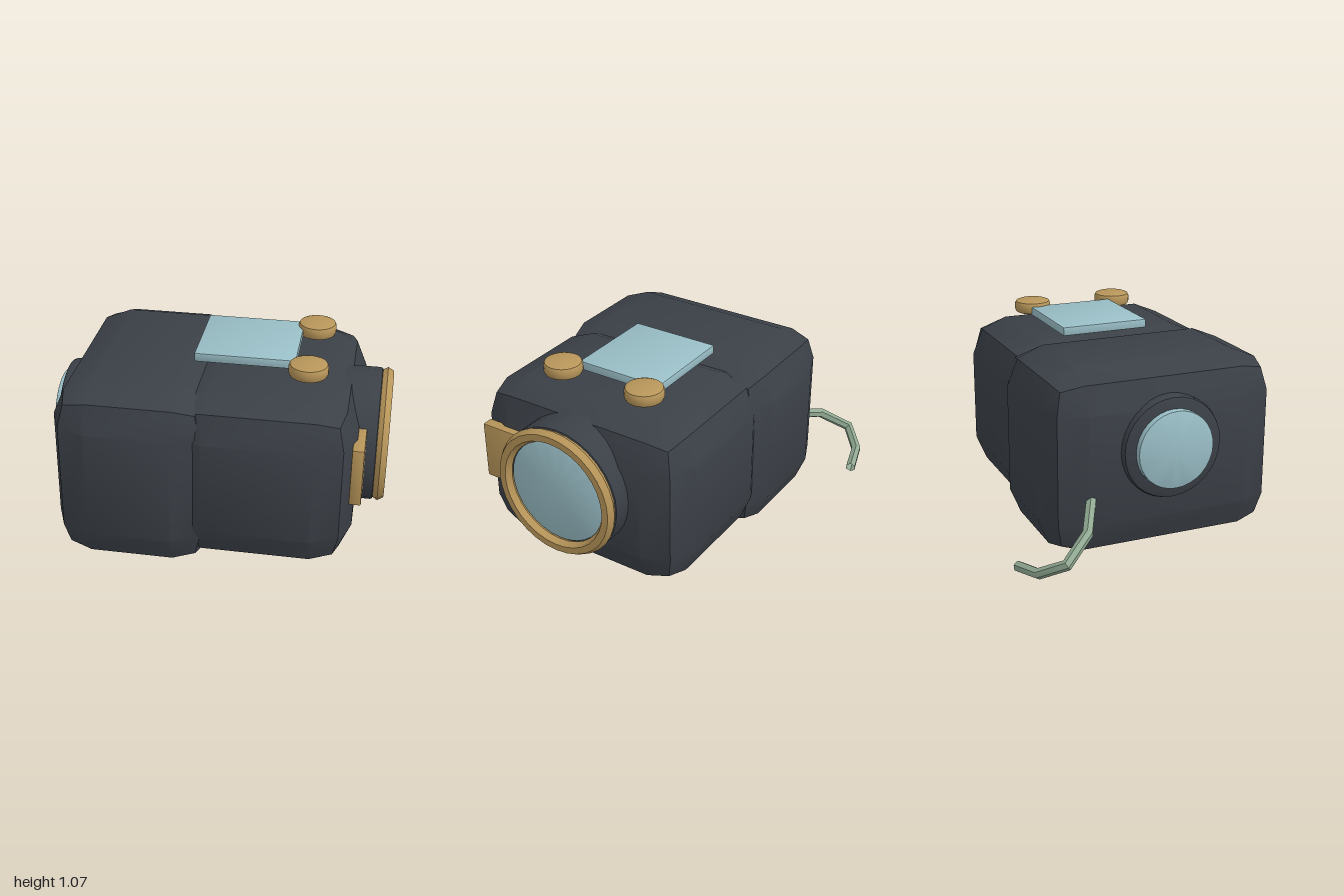
import * as THREE from 'three';
import { toCreasedNormals } from 'three/addons/utils/BufferGeometryUtils.js';
import { RoundedBoxGeometry } from 'three/addons/geometries/RoundedBoxGeometry.js';

const material = (name, color, side = THREE.FrontSide) => {
  const m = new THREE.MeshStandardMaterial({ color, side });
  m.name = name;
  return m;
};

export function createModel() {
  const model = new THREE.Group();
  model.name = 'camera';
  const charcoal = material('charcoal', 0x3b4047);
  const brass = material('brass', 0xb8965a);
  const glass = material('paleGlass', 0x9abfc7);
  const sage = material('sageStrap', 0x90a892, THREE.DoubleSide);

  const add = (name, geometry, mat) => {
    const mesh = new THREE.Mesh(geometry, mat);
    mesh.name = name;
    model.add(mesh);
    return mesh;
  };
  const crease = (geometry) => toCreasedNormals(geometry, Math.PI / 6);

  // Box given by its lowest and highest corners, with a two-step bevel
  const block = (name, lo, hi, bevel, mat) => {
    const size = hi.map((v, i) => v - lo[i]);
    const mesh = add(name, crease(new RoundedBoxGeometry(...size, 1, bevel)), mat);
    mesh.position.set(...lo.map((v, i) => (v + hi[i]) / 2));
    return mesh;
  };

  // Solid disc rising from y = 0 with bevelled rims
  const disc = (name, r, h, b, mat) => {
    const half = [[0, 0], [r - b, 0], [r - 0.3 * b, 0.3 * b], [r, b]];
    const profile = [...half, ...half.map(([x, y]) => [x, h - y]).reverse()];
    const points = profile.map(([x, y]) => new THREE.Vector2(x, y));
    return add(name, crease(new THREE.LatheGeometry(points, 32)), mat);
  };

  // Disc lying along x between two positions on the optical axis
  const axisY = 0.575, axisZ = 0.103;
  const axialDisc = (name, r, x0, x1, b, mat) => {
    const mesh = disc(name, r, x1 - x0, b, mat);
    mesh.rotation.z = -Math.PI / 2;
    mesh.position.set(x0, axisY, axisZ);
  };

  // Two overlapping housings
  block('rearHousing', [-0.68, 0, -0.535], [0.15, 0.98, 0.74], 0.2, charcoal);
  block('frontHousing', [-0.1, 0.06, -0.505], [0.85, 0.965, 0.71], 0.2, charcoal);

  // Lens barrel, glass and six-sided rim
  axialDisc('lensBarrel', 0.348, 0.6, 0.945, 0.015, charcoal);
  axialDisc('lensGlass', 0.279, 0.8, 0.962, 0.004, glass);
  const rim = add('lensRim', crease(new THREE.TorusGeometry(0.315, 0.036, 6, 32)), brass);
  rim.rotation.y = Math.PI / 2;
  rim.position.set(0.968, axisY, axisZ);

  // Eyepiece at the opposite end
  axialDisc('eyepiece', 0.268, -0.72, -0.55, 0.02, charcoal);
  axialDisc('eyepieceGlass', 0.205, -0.755, -0.65, 0.008, glass);

  // Plate beside the lens
  block('sidePlate', [0.83, 0.45, 0.31], [0.89, 0.76, 0.62], 0.006, brass);

  // Top panel and pair of knobs
  block('topPanel', [-0.005, 1.0, -0.2], [0.51, 1.047, 0.28], 0.006, glass);
  for (const z of [-0.163, 0.33]) {
    disc('knob', 0.1, 0.07, 0.02, brass).position.set(0.58, 1.0, z);
  }

  // Bent strap with straight sections between the listed points
  const path = new THREE.CatmullRomCurve3([
    [-0.65, 0.345, -0.31], [-0.88, 0.275, -0.425], [-0.975, 0.18, -0.57],
    [-0.875, 0.11, -0.675], [-0.71, 0.082, -0.72],
  ].map((p) => new THREE.Vector3(...p)));
  path.getPointAt = path.getPoint;
  path.getTangentAt = path.getTangent;
  add('strap', crease(new THREE.TubeGeometry(path, 4, 0.028, 6)), sage);

  return model;
}
